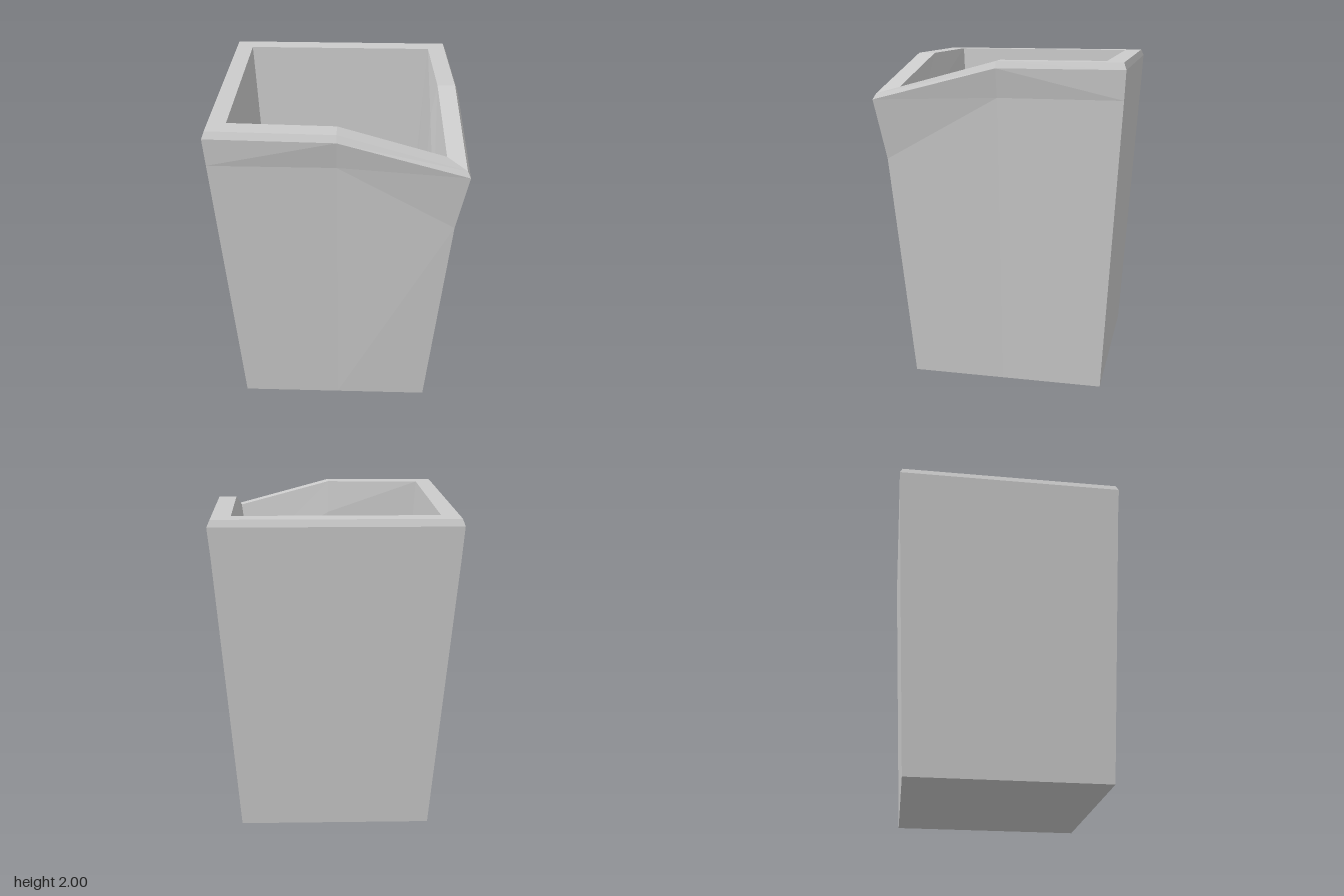
import * as THREE from 'three';

// One cross-section loop: square with its front-left (+x, +z) corner drawn out and lowered.
// lo / hi: plain sides, corner: spout corner, y: plain height, yCorner: spout height
function ring([lo, hi, corner, y, yCorner]) {
  const mid = (hi + corner) / 2;
  return [
    [lo, y, hi], [0, y, mid], [corner, yCorner, corner],
    [mid, y, 0], [hi, y, lo], [lo, y, lo],
  ];
}

// Skins the loops in order, then closes the first and last loop if asked
function loft(sections, capFirst, capLast) {
  const rings = sections.map(ring);
  const n = rings[0].length;
  const positions = [];
  const tri = (a, b, c) => positions.push(...a, ...b, ...c);
  for (let r = 0; r < rings.length - 1; r++) {
    const p = rings[r], q = rings[r + 1];
    for (let i = 0; i < n; i++) {
      const j = (i + 1) % n;
      // mirrored diagonals keep both sides of the spout alike
      if (i < 2) {
        tri(p[i], p[j], q[j]);
        tri(p[i], q[j], q[i]);
      } else {
        tri(p[i], p[j], q[i]);
        tri(p[j], q[j], q[i]);
      }
    }
  }
  const first = rings[0], last = rings[rings.length - 1];
  for (let i = 1; i < n - 1; i++) {
    if (capFirst) tri(first[0], first[i + 1], first[i]);
    if (capLast) tri(last[0], last[i], last[i + 1]);
  }
  const geometry = new THREE.BufferGeometry();
  geometry.setAttribute('position', new THREE.Float32BufferAttribute(positions, 3));
  geometry.computeVertexNormals();
  return geometry;
}

export function createModel() {
  const material = new THREE.MeshStandardMaterial({ color: 0xcccccc, flatShading: true });
  const group = new THREE.Group();
  group.name = 'spoutedPot';
  const add = (name, geometry) => {
    const mesh = new THREE.Mesh(geometry, material);
    mesh.name = name;
    group.add(mesh);
  };

  // shared loops
  const outerEdge = [-0.735, 0.69, 0.735, 1.96, 1.77];
  const innerEdge = [-0.615, 0.565, 0.61, 2, 1.835];

  // tapered outside with base, flaring toward the spout
  add('outerWall', loft([
    [-0.62, 0.575, 0.575, 0, 0],
    [-0.726, 0.677, 0.678, 1.79, 1.41],
    outerEdge,
  ], true, false));

  // bevelled lip that dips at the spout corner
  add('rim', loft([
    outerEdge,
    [-0.72, 0.672, 0.717, 2, 1.805],
    innerEdge,
  ], false, false));

  // hollow inside with floor
  add('innerWall', loft([
    innerEdge,
    [-0.604, 0.555, 0.56, 1.79, 1.45],
    [-0.52, 0.473, 0.473, 0.1, 0.1],
  ], false, true));

  return group;
}
